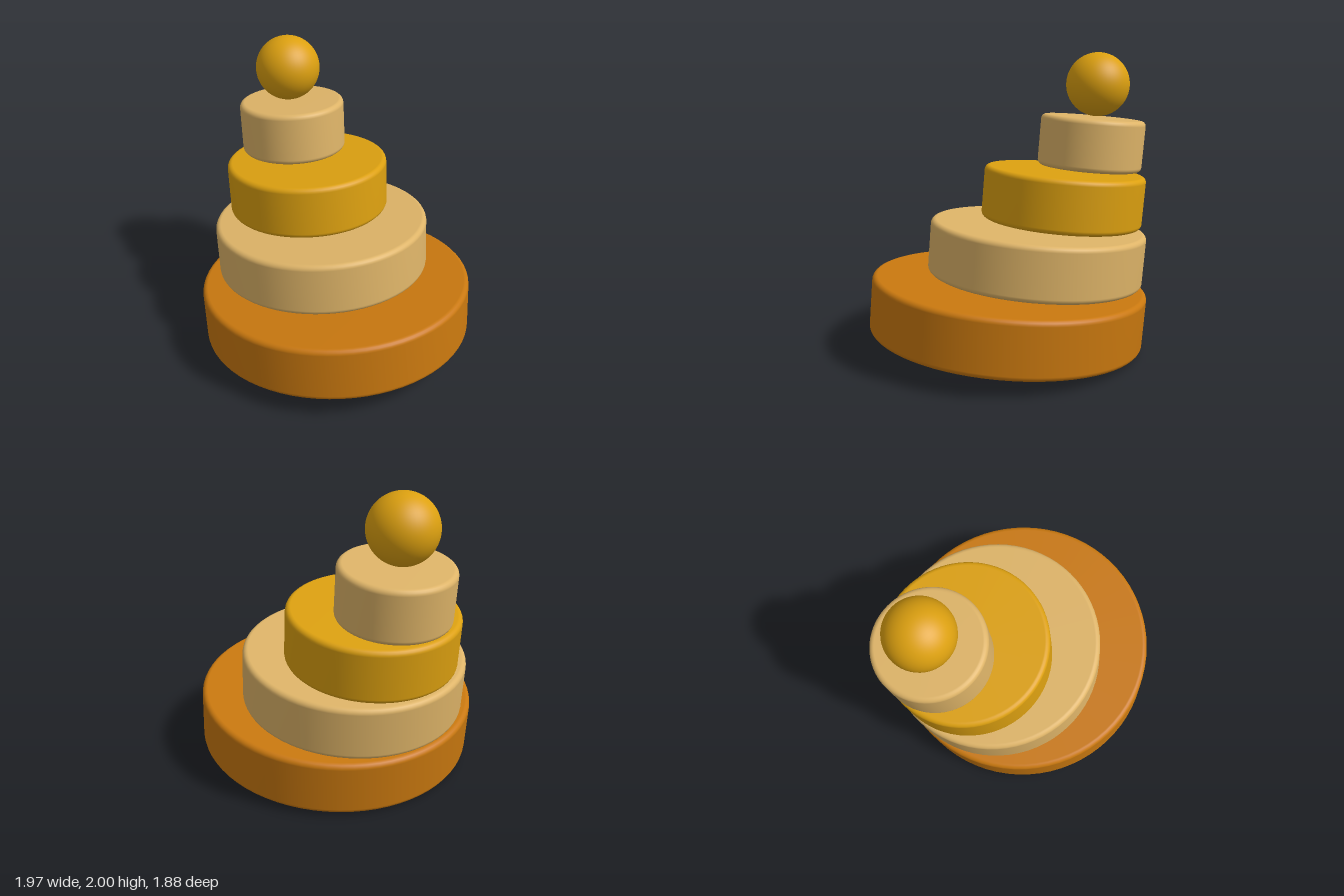
import * as THREE from 'three';

function material(name, color) {
  const m = new THREE.MeshStandardMaterial({ color });
  m.name = name;
  return m;
}

// Disc with softly rounded rims, centred on its own axis
function roundedDisc(radius, height, bevel = 0.035) {
  const h = height / 2;
  const path = [new THREE.Vector2(0, -h), new THREE.Vector2(radius - bevel, -h)];
  const steps = 5;
  for (const [cy, start] of [[-h + bevel, -Math.PI / 2], [h - bevel, 0]]) {
    for (let i = 0; i <= steps; i++) {
      const a = start + (i / steps) * Math.PI / 2;
      path.push(new THREE.Vector2(radius - bevel + Math.cos(a) * bevel, cy + Math.sin(a) * bevel));
    }
  }
  path.push(new THREE.Vector2(0, h));
  // drop the duplicate where the bottom face meets the first arc
  path.splice(2, 1);
  return new THREE.LatheGeometry(path, 72);
}

export function createModel() {
  const group = new THREE.Group();
  group.name = 'leaningStack';

  const orange = material('burnt orange', 0xc9780f);
  const tan = material('tan', 0xdeb468);
  const gold = material('gold', 0xdca010);

  // All discs share one lean
  const lean = new THREE.Quaternion().setFromUnitVectors(
    new THREE.Vector3(0, 1, 0),
    new THREE.Vector3(-0.085, 1, -0.025).normalize()
  );

  // name, radius, height, centre, colour
  const tiers = [
    ['baseDisc', 0.938, 0.378, [0.035, 0.27, -0.003], orange],
    ['lowerDisc', 0.745, 0.365, [-0.183, 0.645, -0.06], tan],
    ['middleDisc', 0.562, 0.362, [-0.39, 1.012, -0.11], gold],
    ['upperDisc', 0.367, 0.358, [-0.613, 1.372, -0.163], tan],
  ];
  for (const [name, radius, height, centre, mat] of tiers) {
    const disc = new THREE.Mesh(roundedDisc(radius, height), mat);
    disc.name = name;
    disc.position.set(...centre);
    disc.quaternion.copy(lean);
    group.add(disc);
  }

  // Ball resting on top
  const ball = new THREE.Mesh(new THREE.SphereGeometry(0.222, 48, 32), gold);
  ball.name = 'topBall';
  ball.position.set(-0.663, 1.778, -0.17);
  group.add(ball);

  return group;
}
